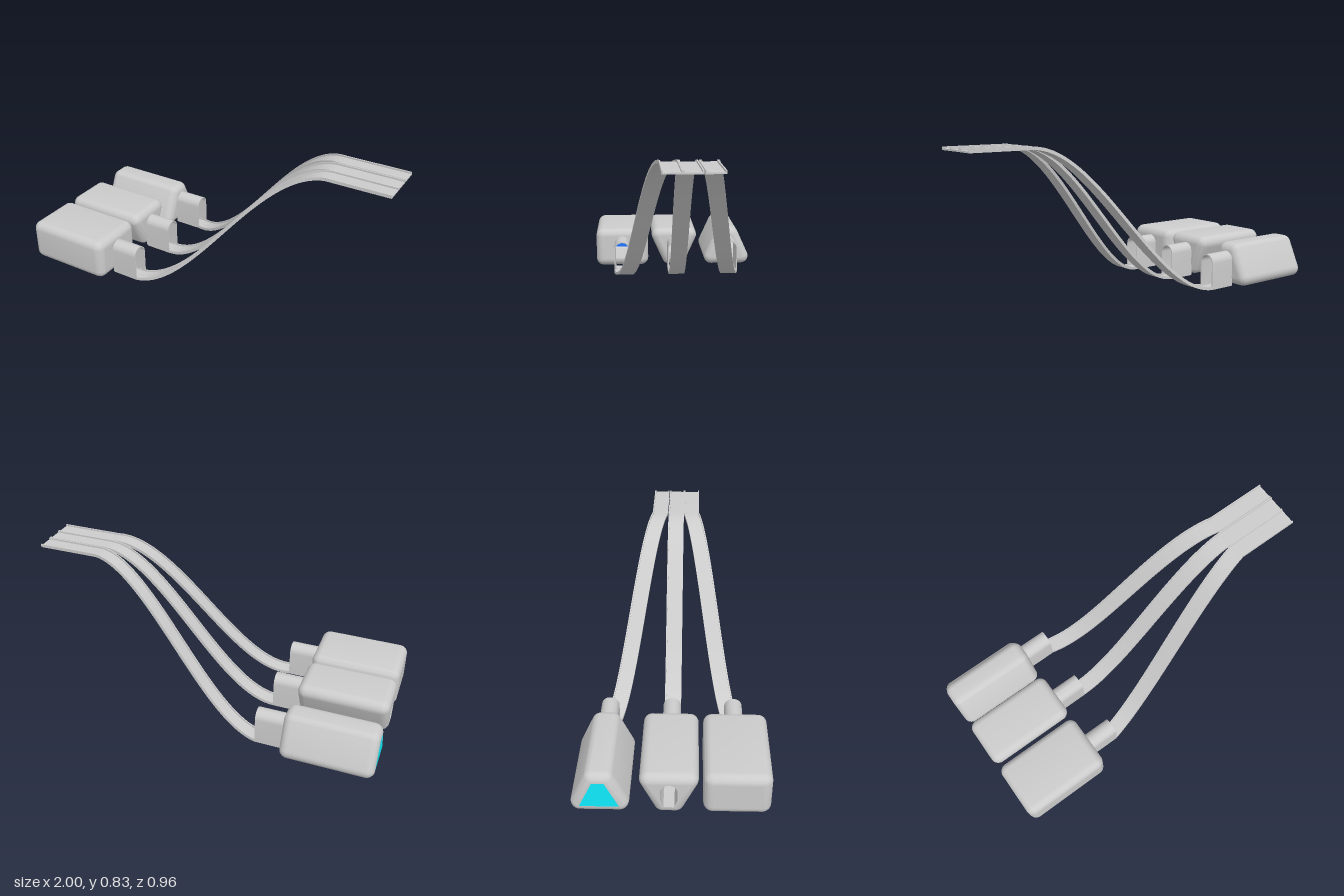
import * as THREE from 'three';
import { toCreasedNormals } from 'three/addons/utils/BufferGeometryUtils.js';

const grey = new THREE.MeshStandardMaterial({ color: 0xcccccc, side: THREE.DoubleSide });
const teal = new THREE.MeshStandardMaterial({ color: 0x10eeff, side: THREE.DoubleSide });
const blue = new THREE.MeshStandardMaterial({ color: 0x1f75ff, side: THREE.DoubleSide });

const R = 0.045;          // corner radius of the housings
const X0 = -1, X1 = -0.5; // housing ends
const MOUTH = -0.345;     // open end of the tunnels

// Cross-sections are drawn as [u, y] with u = -z, counter-clockwise seen from +x.
function mesh(name, geometry, material = grey) {
  const m = new THREE.Mesh(geometry, material);
  m.name = name;
  return m;
}

// Skin through rings of points that advance along +x
function loft(rings, crease) {
  const n = rings[0].length, index = [];
  for (let i = 0; i < rings.length - 1; i++) {
    for (let j = 0; j < n; j++) {
      const a = i * n + j, b = i * n + (j + 1) % n;
      index.push(a, b, b + n, a, b + n, a + n);
    }
  }
  const g = new THREE.BufferGeometry();
  g.setAttribute('position', new THREE.Float32BufferAttribute(rings.flat(2), 3));
  g.setIndex(index);
  return toCreasedNormals(g, crease);
}

const toShape = (pts) => new THREE.Shape(pts.map(([u, y]) => new THREE.Vector2(u, y)));

// Flat face across x
function endFace(pts, hole, x) {
  const shape = toShape(pts);
  if (hole) shape.holes.push(toShape(hole));
  return new THREE.ShapeGeometry(shape).rotateY(Math.PI / 2).translate(x, 0, 0);
}

// Arch outline: up the right side, over the top, down the left
function arch(c, half, foot, base, top) {
  const pts = [[c + foot, base]];
  if (foot < half) pts.push([c + half, base + 0.045]);
  for (let i = 0; i <= 16; i++) {
    const a = Math.PI * i / 16;
    pts.push([c + half * Math.cos(a), top - half + half * Math.sin(a)]);
  }
  if (foot < half) pts.push([c - half, base + 0.045]);
  pts.push([c - foot, base]);
  return pts;
}

// Core polygon grown by rho, with round corners
function grow(core, rho) {
  const out = [], n = core.length;
  const normalAngle = (p, q) => Math.atan2(-(q[0] - p[0]), q[1] - p[1]);
  core.forEach((p, i) => {
    const a0 = normalAngle(core[(i + n - 1) % n], p);
    let a1 = normalAngle(p, core[(i + 1) % n]);
    while (a1 < a0) a1 += Math.PI * 2;
    for (let k = 0; k <= 8; k++) {
      const a = a0 + (a1 - a0) * k / 8;
      out.push([p[0] + rho * Math.cos(a), p[1] + rho * Math.sin(a)]);
    }
  });
  return out;
}

// Hollow housing with rounded edges and an arched opening
function housing(lane) {
  const g = new THREE.Group();
  g.name = lane.name + 'Housing';
  const c = -lane.z, { bottom, top } = lane;
  const core = [[c - bottom, 0.05], [c + bottom, 0.05], [c + top, 0.195], [c - top, 0.195]];
  const opening = arch(c, 0.041, lane.foot, 0.052, 0.191);
  const rings = [];
  const ring = (x, rho) => rings.push(grow(core, rho).map(([u, y]) => [x, y, -u]));
  for (let i = 0; i <= 8; i++) {
    const t = Math.PI / 2 * i / 8;
    ring(X0 + R - R * Math.cos(t), R * Math.sin(t));
  }
  for (let i = 8; i >= 0; i--) {
    const t = Math.PI / 2 * i / 8;
    ring(X1 - R + R * Math.cos(t), R * Math.sin(t));
  }
  g.add(mesh('shell', loft(rings, 0.5)));
  g.add(mesh('frontWall', endFace(core, opening, X1)));
  g.add(mesh('backWall', endFace(core, lane.through ? opening : null, X0), lane.panel || grey));
  if (lane.through) {
    // Passage running the whole length
    const sides = [X0, X1].map((x) => opening.map(([u, y]) => [x, y, -u]));
    g.add(mesh('passage', loft(sides, 0.5)));
  }
  if (lane.strip) {
    const s = mesh('innerStrip', new THREE.BoxGeometry(0.01, 0.032, 0.23), lane.strip);
    s.position.set(X0 + 0.04, 0.035, lane.z);
    g.add(s);
  }
  return g;
}

// Arched tunnel between housing and track
function tunnel(lane) {
  const outer = arch(-lane.z, 0.047, 0.047, 0.003, 0.196);
  const inner = arch(-lane.z, 0.041, 0.041, 0.003, 0.19);
  const g = new THREE.ExtrudeGeometry(toShape([...outer, ...inner.reverse()]),
    { depth: MOUTH - X1 + 0.005, bevelEnabled: false });
  g.rotateY(Math.PI / 2).translate(X1 - 0.005, 0, 0);
  return mesh(lane.name + 'Tunnel', toCreasedNormals(g, 0.5));
}

// Shallow channel that climbs in an S and runs out level
function track(lane) {
  const w = 0.046, l = 0.039;
  const section = [[-w, 0], [w, 0], [w, 0.017], [l, 0.017], [l, 0.008],
    [-l, 0.008], [-l, 0.017], [-w, 0.017]];
  const rise = 0.811, run = 0.66 - MOUTH, steps = 40;
  const xs = [X1];
  for (let i = 0; i <= steps; i++) xs.push(MOUTH + run * i / steps);
  xs.push(1);
  const rings = xs.map((x) => {
    const t = THREE.MathUtils.clamp((x - MOUTH) / run, 0, 1);
    const slope = Math.atan(rise * 6 * t * (1 - t) / run);
    const y = rise * t * t * (3 - 2 * t);
    const z = THREE.MathUtils.lerp(lane.z, lane.endZ, t);
    return section.map(([u, d]) => [x - d * Math.sin(slope), y + d * Math.cos(slope), z - u]);
  });
  const g = new THREE.Group();
  g.name = lane.name + 'Track';
  g.add(mesh('channel', loft(rings, 0.5)));
  // End of the channel
  const end = endFace(section.map(([u, d]) => [u - lane.endZ, d + rise]), null, 1);
  g.add(mesh('channelEnd', end));
  return g;
}

export function createModel() {
  const model = new THREE.Group();
  model.name = 'threeLaneRamp';
  const lanes = [
    { name: 'square', z: 0.317, endZ: 0.08, bottom: 0.118, top: 0.118, foot: 0.041, strip: blue },
    { name: 'flared', z: -0.01, endZ: -0.011, bottom: 0.03, top: 0.096, foot: 0.026, through: true },
    { name: 'tapered', z: -0.343, endZ: -0.107, bottom: 0.096, top: 0.03, foot: 0.041, panel: teal },
  ];
  for (const lane of lanes) model.add(housing(lane), tunnel(lane), track(lane));
  return model;
}
